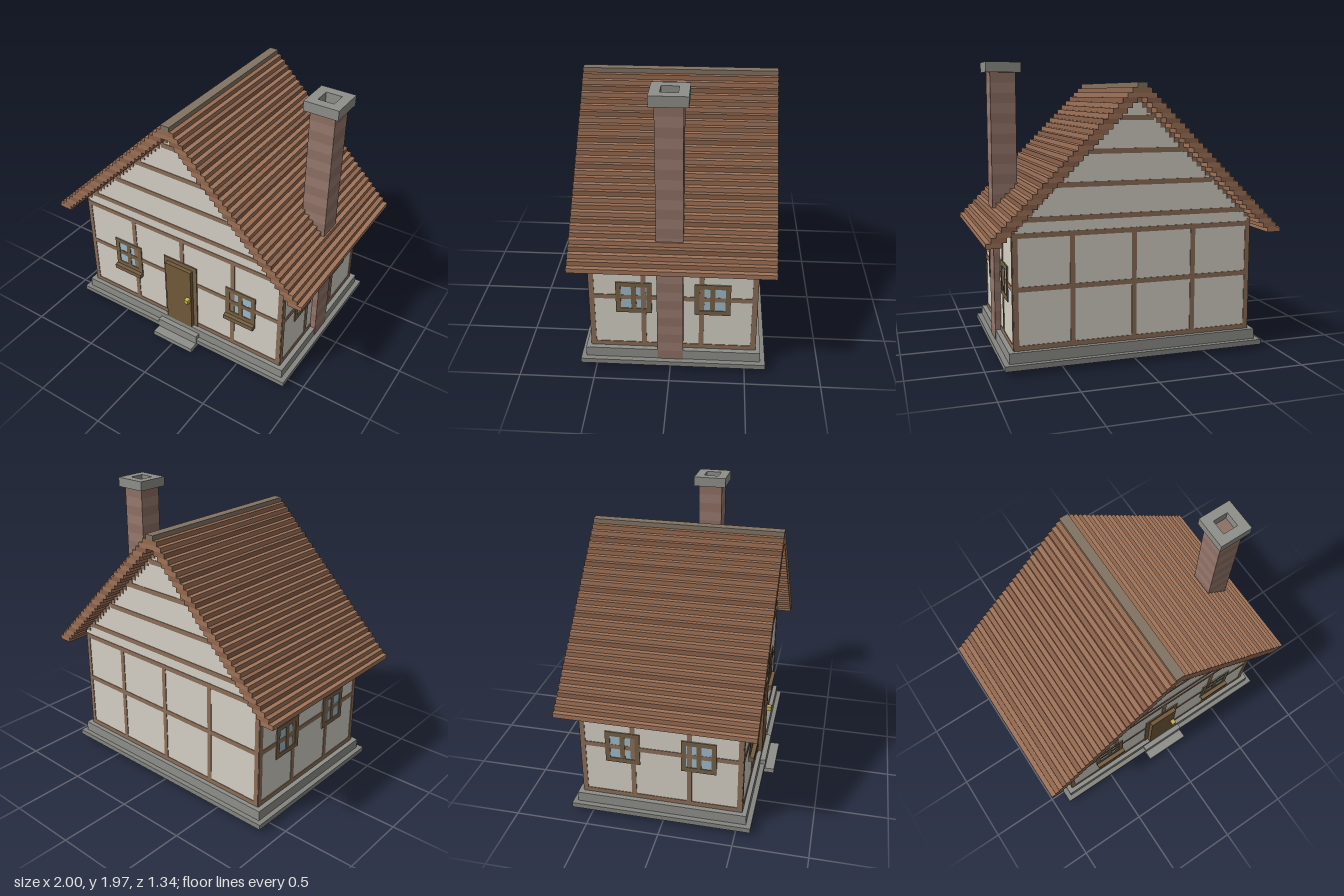
import * as THREE from 'three';

const C = {
  wall: 0xd6d1c6, timber: 0x8c6f5a, oak: 0x766045, door: 0x735a3a, glass: 0x9fbccb,
  stone: 0x8f8f8a, stoneDark: 0x858581, ridge: 0x837462, brass: 0xc9b04f,
  roof: [0xa0745a, 0x966b51, 0xa0745a, 0x8c634c], brick: [0x8f7065, 0x987a6f],
};
const mats = {};
const mat = (color) => (mats[color] ??= new THREE.MeshStandardMaterial({ color, flatShading: true }));

// Box given by its limits on each axis
function box(parent, name, color, x0, x1, y0, y1, z0, z1) {
  const m = new THREE.Mesh(new THREE.BoxGeometry(x1 - x0, y1 - y0, z1 - z0), mat(color));
  m.position.set((x0 + x1) / 2, (y0 + y1) / 2, (z0 + z1) / 2);
  m.name = name;
  parent.add(m);
  return m;
}

function group(parent, name) {
  const g = new THREE.Group();
  g.name = name;
  parent.add(g);
  return g;
}

const W = 0.82, ZF = 0.533, ZB = -0.568; // wall planes
const T = 0.033, E = 0.004;              // timber width, relief
const STEP = 1 / 31;                     // roof course pitch
const EAVE = 0.832;

// Window built facing +z around its frame centre
function makeWindow(name, crossbar, sill) {
  const g = new THREE.Group();
  g.name = name;
  const h = 0.118;
  box(g, 'glass', C.glass, -h, h, -h, h, -0.02, 0.003);
  for (const s of [-1, 1]) {
    const a = s * (h - T / 2);
    box(g, 'frameSide', C.oak, a - T / 2, a + T / 2, -h, h, -0.02, 0.008);
    box(g, 'frameRail', C.oak, -h + T, h - T, a - T / 2, a + T / 2, -0.02, 0.008);
  }
  box(g, 'mullion', C.oak, -T / 2, T / 2, -h + T, h - T, -0.02, 0.007);
  if (crossbar) box(g, 'crossbar', C.oak, -h + T, h - T, -T / 2, T / 2, -0.02, 0.006);
  if (sill) box(g, 'sill', C.oak, -h, h, -h - T, -h, -0.02, 0.036);
  return g;
}

export function createModel() {
  const house = new THREE.Group();
  house.name = 'cottage';

  // Stone plinth and front steps
  const base = group(house, 'plinth');
  box(base, 'footing', C.stoneDark, -0.893, 0.893, 0.035, 0.07, -0.637, 0.602);
  box(base, 'plinthCourse', C.stone, -0.858, 0.858, 0.07, 0.14, -0.603, 0.568);
  const steps = group(house, 'frontSteps');
  box(steps, 'upperStep', C.stone, -0.168, 0.168, 0.035, 0.104, 0.5, 0.606);
  box(steps, 'lowerStep', C.stone, -0.168, 0.168, 0, 0.035, 0.57, 0.672);

  // Plastered body with gables
  const s = new THREE.Shape();
  s.moveTo(-W, 0.14);
  s.lineTo(W, 0.14);
  s.lineTo(W, 0.93);
  s.lineTo(0, 1.75);
  s.lineTo(-W, 0.93);
  const body = new THREE.Mesh(
    new THREE.ExtrudeGeometry(s, { depth: ZF - ZB, bevelEnabled: false }), mat(C.wall));
  body.position.z = ZB;
  body.name = 'walls';
  house.add(body);

  // Timber framing on the front and back
  for (const [name, z0, z1] of [['frontTimbers', ZF - 0.02, ZF + E], ['backTimbers', ZB - E, ZB + 0.02]]) {
    const g = group(house, name);
    for (const x of [-W + T / 2, -0.4, 0.015, 0.433, W - T / 2])
      box(g, 'post', C.timber, x - T / 2, x + T / 2, 0.14, 0.9, z0, z1);
    for (const y of [0.14, 0.522, 0.866, 0.965, 1.176, 1.383, 1.593]) {
      const half = Math.min(W, 1.74 - y - T);
      box(g, 'rail', C.timber, -half, half, y, y + T, z0, z1);
    }
    // Stepped rake timbers under the roof
    for (let i = 3; i < 28; i++) {
      const xo = 0.903 - STEP * i, y = EAVE + STEP * i;
      for (const m of [-1, 1]) {
        const a = m * Math.min(xo, W), b = m * Math.max(0, xo - T);
        box(g, 'rakeTimber', C.timber, Math.min(a, b), Math.max(a, b), y, y + STEP, z0, z1);
      }
    }
  }

  // Timber framing and windows on the sides
  for (const m of [-1, 1]) {
    const g = group(house, m > 0 ? 'leftTimbers' : 'rightTimbers');
    const x0 = m > 0 ? W - 0.02 : -W - E, x1 = m > 0 ? W + E : -W + 0.02;
    for (const z of [ZF - T / 2, 0.176, -0.206, ZB + T / 2])
      box(g, 'post', C.timber, x0, x1, 0.14, 0.92, z - T / 2, z + T / 2);
    for (const y of [0.14, 0.522, 0.866])
      box(g, 'rail', C.timber, x0, x1, y, y + T, ZB, ZF);
    for (const z of [0.24, -0.277]) {
      const w = makeWindow('sideWindow', false, false);
      w.position.set(m * W, 0.537, z);
      w.rotation.y = m * Math.PI / 2;
      house.add(w);
    }
  }

  // Front windows
  for (const x of [-0.465, 0.498]) {
    const w = makeWindow('frontWindow', true, true);
    w.position.set(x, 0.535, ZF);
    house.add(w);
  }

  // Door
  const door = group(house, 'door');
  box(door, 'doorFrame', C.oak, -0.139, 0.139, 0.14, 0.69, ZF - 0.02, ZF + 0.008);
  box(door, 'doorLeaf', C.door, -0.107, 0.107, 0.14, 0.657, ZF - 0.02, 0.57);
  box(door, 'doorKnob', C.brass, 0.07, 0.103, 0.388, 0.42, 0.56, 0.604);

  // Stepped roof courses, mirrored, and the ridge
  const roof = group(house, 'roof');
  for (let i = 0; i < 30; i++) {
    const xo = 1 - STEP * i, xi = Math.max(0, xo - 0.097), y = EAVE + STEP * i;
    for (const m of [-1, 1])
      box(roof, 'roofCourse', C.roof[i % 4], m > 0 ? xi : -xo, m > 0 ? xo : -xi,
        y, y + STEP, -0.672, 0.636);
  }
  box(roof, 'ridge', C.ridge, -STEP, STEP, EAVE + 30 * STEP, EAVE + 31 * STEP, -0.672, 0.636);

  // Chimney of brick bands with a hollow stone cap
  const chimney = group(house, 'chimney');
  const bands = 27, h = (1.9 - 0.07) / bands;
  for (let i = 0; i < bands; i++)
    box(chimney, 'brickBand', C.brick[i % 2], 0.69, 0.861, 0.07 + i * h, 0.07 + (i + 1) * h, -0.086, 0.086);
  const rect = (p, r) => {
    p.moveTo(-r, -r);
    p.lineTo(r, -r);
    p.lineTo(r, r);
    p.lineTo(-r, r);
    p.closePath();
    return p;
  };
  const ring = rect(new THREE.Shape(), 0.118);
  ring.holes.push(rect(new THREE.Path(), 0.054));
  const cap = new THREE.Mesh(
    new THREE.ExtrudeGeometry(ring, { depth: 0.068, bevelEnabled: false }), mat(C.stone));
  cap.rotation.x = -Math.PI / 2;
  cap.position.set(0.775, 1.9, 0);
  cap.name = 'chimneyCap';
  chimney.add(cap);

  return house;
}
